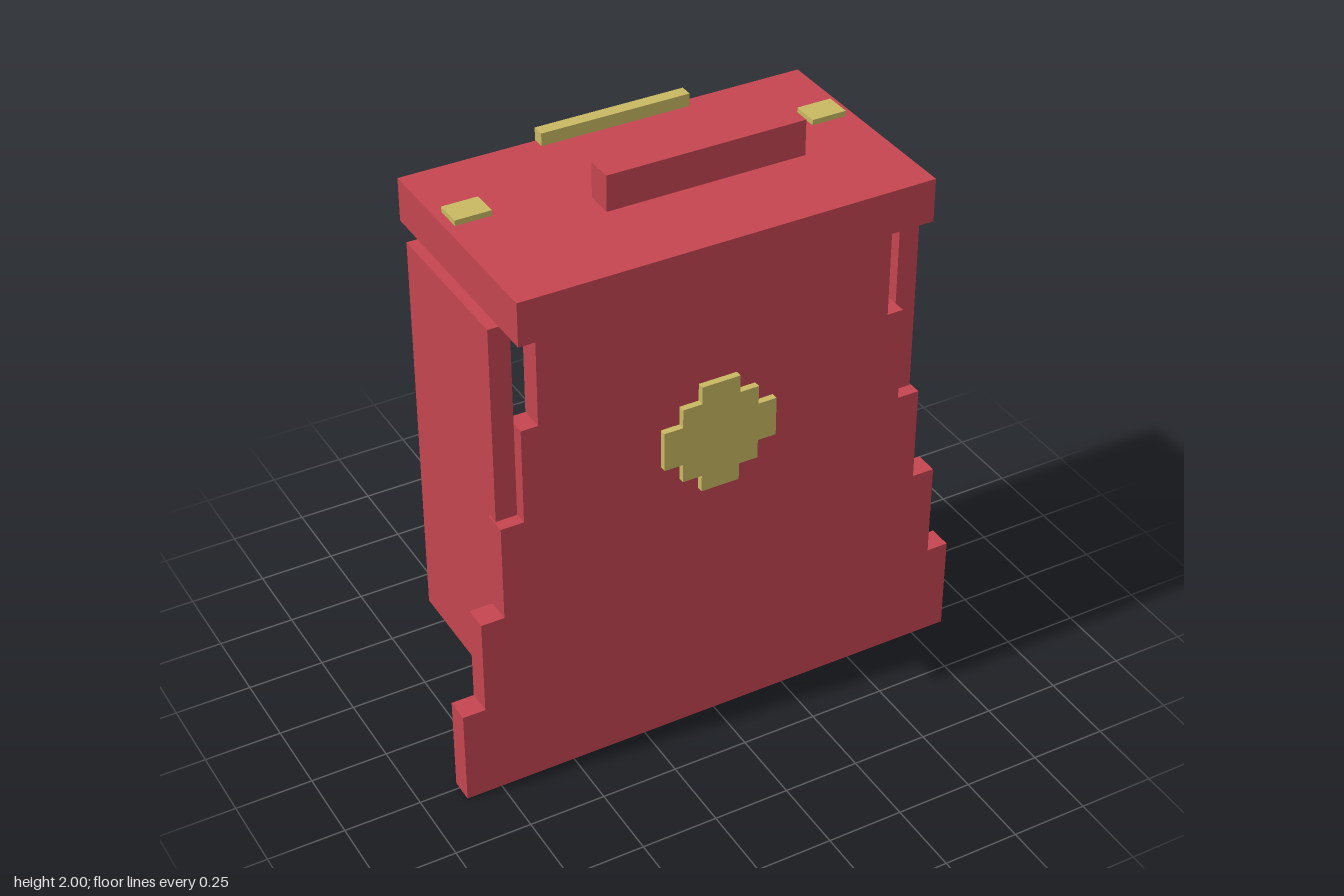
import * as THREE from 'three';

export function createModel() {
  const model = new THREE.Group();
  const red = new THREE.MeshStandardMaterial({ color: 0xc44550 });
  red.name = 'red';
  const gold = new THREE.MeshStandardMaterial({ color: 0xc9b963 });
  gold.name = 'gold';

  // Box given by its minimum and maximum corners
  function box(name, material, [x0, y0, z0], [x1, y1, z1]) {
    const mesh = new THREE.Mesh(new THREE.BoxGeometry(x1 - x0, y1 - y0, z1 - z0), material);
    mesh.position.set((x0 + x1) / 2, (y0 + y1) / 2, (z0 + z1) / 2);
    mesh.name = name;
    model.add(mesh);
  }

  // Symmetric stepped plate; each tier is [half width, bottom, top], listed upwards
  function steppedPlate(name, material, tiers, z0, z1) {
    const right = tiers.flatMap(([w, y0, y1]) => [[w, y0], [w, y1]]);
    const left = right.map(([x, y]) => [-x, y]).reverse();
    const shape = new THREE.Shape([...right, ...left].map(([x, y]) => new THREE.Vector2(x, y)));
    const geometry = new THREE.ExtrudeGeometry(shape, { depth: z1 - z0, bevelEnabled: false });
    const mesh = new THREE.Mesh(geometry, material);
    mesh.position.z = z0;
    mesh.name = name;
    model.add(mesh);
  }

  // Front panel, widening in steps towards the floor
  steppedPlate('frontPanel', red, [
    [0.867, 0, 0.325], [0.793, 0.325, 0.65], [0.717, 0.65, 0.975],
    [0.642, 0.975, 1.297], [0.587, 1.297, 1.62],
  ], 0.226, 0.305);

  // Medallion on the front
  steppedPlate('medallion', gold, [
    [0.064, 0.89, 0.947], [0.128, 0.947, 1.01], [0.19, 1.01, 1.143],
    [0.128, 1.143, 1.206], [0.064, 1.206, 1.265],
  ], 0.304, 0.327);

  // Top slab with a floating front bar and a gold rear bar
  box('topSlab', red, [-0.677, 1.637, -0.382], [0.677, 1.78, 0.382]);
  box('frontBar', red, [-0.321, 1.885, 0.148], [0.321, 2, 0.235]);
  box('rearBar', gold, [-0.249, 1.805, -0.346], [0.249, 1.847, -0.304]);

  // Side panels and the gold studs above them
  for (const [side, s] of [['left', 1], ['right', -1]]) {
    const span = (a, b) => (s > 0 ? [a, b] : [-b, -a]);
    const [p0, p1] = span(0.643, 0.712);
    box(side + 'SidePanel', red, [p0, 0.313, -0.263], [p1, 1.637, 0.263]);
    const [t0, t1] = span(0.532, 0.648);
    box(side + 'Stud', gold, [t0, 1.775, -0.148], [t1, 1.798, -0.06]);
  }
  return model;
}
